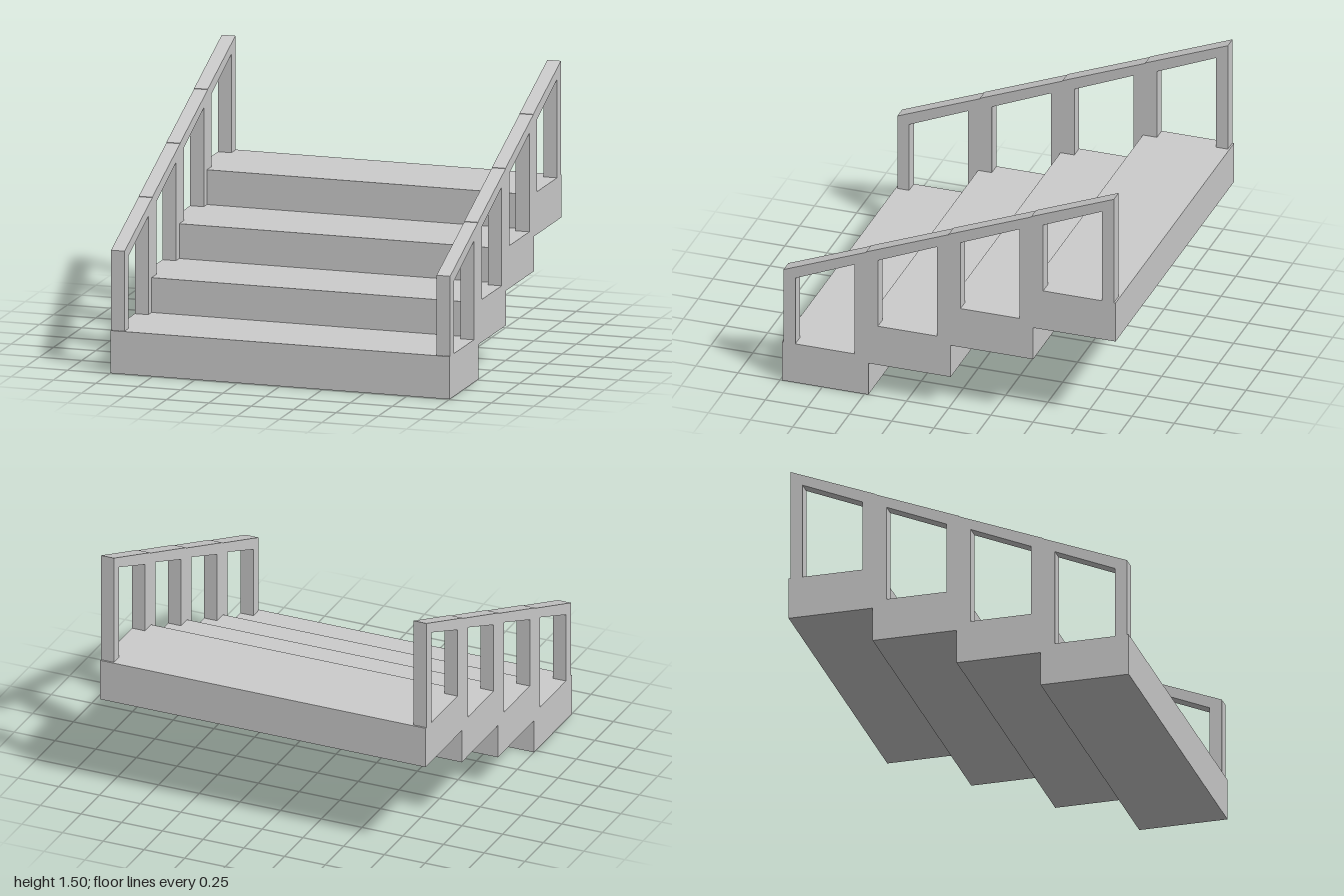
import * as THREE from 'three';

const STEPS = 4, RISE = 0.2, PITCH = 0.489;
const STEP_HEIGHT = 0.245, STEP_DEPTH = 0.513, FRONT = 0.99;
const RAIL_WIDTH = 0.08, BAY = 0.49, POST = 0.07;

// One railing bay: two posts joined by a sloping handrail, open at the bottom.
// Drawn with x running towards the back, then turned so its thickness lies along x.
function bayGeometry() {
  const shape = new THREE.Shape([
    [0, 0], [POST, 0], [POST, 0.418], [BAY - POST, 0.567],
    [BAY - POST, 0], [BAY, 0], [BAY, 0.657], [0, 0.46],
  ].map(([x, y]) => new THREE.Vector2(x, y)));
  const geometry = new THREE.ExtrudeGeometry(shape, { depth: RAIL_WIDTH, bevelEnabled: false });
  return geometry.rotateY(Math.PI / 2);
}

export function createModel() {
  const group = new THREE.Group();
  const material = new THREE.MeshStandardMaterial({ color: 0xcccccc });
  const stepGeometry = new THREE.BoxGeometry(2, STEP_HEIGHT, STEP_DEPTH);
  const railGeometry = bayGeometry();

  const steps = new THREE.Group();
  steps.name = 'steps';
  const leftRailing = new THREE.Group();
  leftRailing.name = 'leftRailing';
  const rightRailing = new THREE.Group();
  rightRailing.name = 'rightRailing';
  group.add(steps, leftRailing, rightRailing);

  for (let i = 0; i < STEPS; i++) {
    // Overlapping solid steps
    const step = new THREE.Mesh(stepGeometry, material);
    step.name = `step${i + 1}`;
    step.position.set(0, i * RISE + STEP_HEIGHT / 2, FRONT - STEP_DEPTH / 2 - i * PITCH);
    steps.add(step);

    // A railing bay on each end of the step
    for (const [railing, x] of [[leftRailing, 1 - RAIL_WIDTH], [rightRailing, -1]]) {
      const bay = new THREE.Mesh(railGeometry, material);
      bay.name = `railingBay${i + 1}`;
      bay.position.set(x, i * RISE + STEP_HEIGHT, 0.98 - i * BAY);
      railing.add(bay);
    }
  }
  return group;
}
